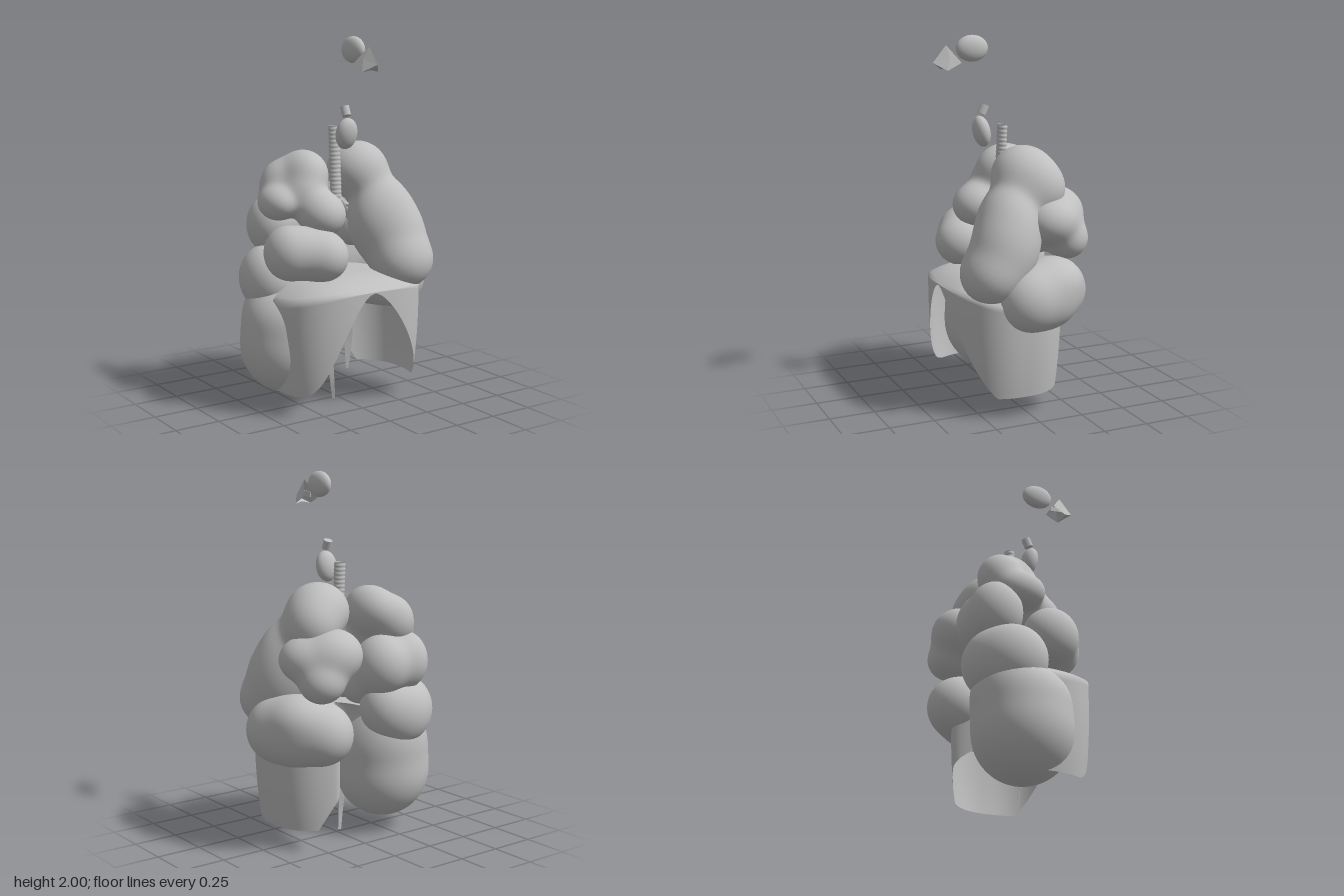
import * as THREE from 'three';
import { mergeVertices } from 'three/addons/utils/BufferGeometryUtils.js';

const tissue = new THREE.MeshStandardMaterial({ color: 0xbfbfbf, side: THREE.DoubleSide });
tissue.name = 'tissueGrey';

const V = (x, y, z) => new THREE.Vector3(x, y, z);

// Smoothly blended ellipsoids, each [x, y, z, rx, ry, rz], wrapped by rays from a centre
function lobe(center, balls, k = 0.024) {
  const field = (p) => {
    let sum = 0;
    for (const [x, y, z, rx, ry, rz] of balls) {
      const q = Math.hypot((p.x - x) / rx, (p.y - y) / ry, (p.z - z) / rz);
      sum += Math.exp(-((q - 1) * Math.min(rx, ry, rz)) / k);
    }
    return sum < 1e-30 ? 1 : -k * Math.log(sum);
  };
  let g = new THREE.IcosahedronGeometry(1, 18);
  g.deleteAttribute('uv');
  g.deleteAttribute('normal');
  g = mergeVertices(g, 1e-5);
  const pos = g.attributes.position;
  const c = V(...center), d = V(), p = V();
  for (let i = 0; i < pos.count; i++) {
    d.fromBufferAttribute(pos, i).normalize();
    let t = 0.7;
    while (t > 0.01 && field(p.copy(c).addScaledVector(d, t)) > 0) t -= 0.01;
    let lo = t, hi = t + 0.01;
    for (let j = 0; j < 8; j++) {
      const m = (lo + hi) / 2;
      if (field(p.copy(c).addScaledVector(d, m)) > 0) hi = m; else lo = m;
    }
    p.copy(c).addScaledVector(d, lo);
    pos.setXYZ(i, p.x, p.y, p.z);
  }
  g.computeVertexNormals();
  return g;
}

// Grid surface from a rule f(u, v) -> Vector3
function sheet(nu, nv, f) {
  const pts = [], idx = [];
  for (let j = 0; j <= nv; j++) for (let i = 0; i <= nu; i++) pts.push(...f(i / nu, j / nv).toArray());
  for (let j = 0; j < nv; j++) for (let i = 0; i < nu; i++) {
    const a = j * (nu + 1) + i, b = a + nu + 1;
    idx.push(a, a + 1, b, a + 1, b + 1, b);
  }
  let g = new THREE.BufferGeometry();
  g.setAttribute('position', new THREE.Float32BufferAttribute(pts, 3));
  g.setIndex(idx);
  g = mergeVertices(g, 1e-5);
  g.computeVertexNormals();
  return g;
}

const tube = (pts, r) =>
  new THREE.TubeGeometry(new THREE.CatmullRomCurve3(pts.map((p) => V(...p))), 24, r, 12);

// Domed muscle sheet with arched front and back hems and a notch at the spine
function diaphragm() {
  const sp = (v, e) => Math.sign(v) * Math.pow(Math.abs(v), e);
  return sheet(160, 36, (u, v) => {
    const a = -u * Math.PI * 2;
    const x = 0.44 * sp(Math.cos(a), 0.8);
    const front = Math.sin(a) >= 0;
    let z = 0.34 * sp(Math.sin(a), front ? 0.75 : 0.85);
    if (!front) z *= 0.9 * THREE.MathUtils.smoothstep(Math.abs(x), 0.0, 0.2);
    const w = Math.min(1, Math.abs(x) / (front ? 0.41 : 0.3));
    // the right side of the front arch is bell shaped, the left side straighter
    const arch = front && x < 0 ? 0.5 + 0.5 * Math.cos(Math.PI * w) : 1 - Math.pow(w, 1.45);
    const hem = 0.115 + ((front ? 0.665 : 0.45) - 0.115) * arch;
    const rim = 0.67 - 0.05 * Math.pow(Math.abs(x) / 0.44, 4);
    if (v < 0.5) {
      const r = v * 2;
      return V(x * r, 0.74 - (0.74 - rim) * Math.pow(r, 3.5), 0.03 + z * r);
    }
    const y = rim + (Math.min(hem, rim) - rim) * (v - 0.5) * 2;
    const k = 1 - 0.075 * Math.pow((0.67 - y) / 0.55, 2.5);
    return V(x * k, y, 0.03 + z * k);
  });
}

// Tapered flat strap hanging from the diaphragm
const strap = (pts, w0, w1) => {
  const c = new THREE.CatmullRomCurve3(pts.map((p) => V(...p)));
  return sheet(2, 16, (u, v) => {
    const p = c.getPoint(v), w = w0 + (w1 - w0) * v;
    return p.add(V((u - 0.5) * w, 0, (u - 0.5) * w * 0.5));
  });
};

// Faceted nose shell: bridge, tip and flared wings
function nose() {
  const g = new THREE.BufferGeometry();
  const tris = [];
  for (const s of [1, -1]) {
    const top = [-0.01, 1.95, 0.31], tip = [-0.01, 1.86, 0.385], base = [-0.01, 1.83, 0.33];
    const wing = [-0.01 + s * 0.05, 1.82, 0.32], rear = [-0.01 + s * 0.055, 1.86, 0.245], mid = [-0.01 + s * 0.03, 1.885, 0.3];
    const faces = [[top, tip, mid], [tip, wing, mid], [mid, wing, rear], [top, mid, rear], [tip, base, wing]];
    for (const f of faces) for (const p of s > 0 ? f : [f[0], f[2], f[1]]) tris.push(...p);
  }
  g.setAttribute('position', new THREE.Float32BufferAttribute(tris, 3));
  g.computeVertexNormals();
  return g;
}

// Ringed windpipe profile
function trachea() {
  const pts = [], n = 72;
  for (let i = 0; i <= n; i++) pts.push(new THREE.Vector2(0.028 + 0.002 * Math.sin(i * 1.57), (i / n) * 0.41));
  return new THREE.LatheGeometry(pts, 20);
}

export function createModel() {
  const group = new THREE.Group();
  const add = (name, geo, pos = [0, 0, 0], rx = 0, scale = [1, 1, 1]) => {
    const m = new THREE.Mesh(geo, tissue);
    m.name = name;
    m.position.set(...pos);
    m.rotation.x = rx;
    m.scale.set(...scale);
    group.add(m);
  };

  // Head and throat
  const ball = new THREE.SphereGeometry(1, 32, 24);
  add('nasalCavity', ball, [-0.007, 1.93, 0.165], 0, [0.042, 0.07, 0.09]);
  add('nose', nose());
  add('nasalSeptum', new THREE.BoxGeometry(0.006, 0.03, 0.09), [-0.01, 1.875, 0.295], -0.1);
  add('larynx', ball, [-0.012, 1.487, 0.11], 0.2, [0.063, 0.085, 0.046]);
  add('throatTube', new THREE.CylinderGeometry(0.025, 0.025, 0.052, 10), [-0.01, 1.605, 0.1], -0.4);

  // Windpipe and its branches
  add('trachea', trachea(), [-0.01, 1.11, 0.008], -0.05, [1.15, 1, 0.95]);
  add('leftBronchus', tube([[-0.01, 1.14, 0], [0.05, 1.09, -0.02], [0.12, 1.0, -0.05], [0.2, 0.9, -0.08]], 0.02));
  add('rightBronchus', tube([[-0.01, 1.14, 0], [-0.05, 1.08, -0.02], [-0.12, 1.0, -0.05]], 0.022));
  add('leftUpperBranch', tube([[0.05, 1.09, -0.02], [0.1, 1.08, 0.0], [0.16, 1.1, 0.02]], 0.013));

  // Left lung
  add('leftUpperLobe', lobe([0.22, 1.04, 0.05], [
    [0.165, 1.27, -0.05, 0.165, 0.155, 0.165], [0.25, 1.2, -0.11, 0.125, 0.14, 0.135],
    [0.245, 1.0, 0.07, 0.19, 0.23, 0.165], [0.305, 0.9, 0.12, 0.165, 0.2, 0.165],
    [0.305, 0.78, 0.2, 0.17, 0.155, 0.155],
  ], 0.03));
  add('leftMiddleLobe', lobe([0.25, 1.02, -0.2], [
    [0.2, 1.06, -0.225, 0.16, 0.14, 0.15], [0.32, 1.04, -0.14, 0.135, 0.12, 0.14],
    [0.29, 0.93, -0.25, 0.12, 0.11, 0.115], [0.17, 0.95, -0.1, 0.1, 0.12, 0.1],
  ]));
  add('leftLowerLobe', lobe([0.34, 0.65, -0.1], [
    [0.405, 0.645, 0.02, 0.145, 0.165, 0.16], [0.25, 0.64, -0.2, 0.16, 0.165, 0.17],
    [0.36, 0.64, -0.1, 0.15, 0.17, 0.17], [0.35, 0.73, -0.13, 0.14, 0.11, 0.15],
  ], 0.028));

  // Right lung
  add('rightUpperLobe', lobe([-0.2, 1.16, -0.03], [
    [-0.155, 1.26, -0.09, 0.12, 0.13, 0.155], [-0.25, 1.2, -0.17, 0.115, 0.13, 0.115],
    [-0.335, 1.115, -0.08, 0.09, 0.09, 0.125], [-0.15, 1.06, 0.08, 0.125, 0.12, 0.135],
    [-0.2, 1.16, -0.03, 0.1, 0.11, 0.12],
  ]));
  add('rightBackLobe', lobe([-0.2, 0.96, -0.17], [
    [-0.14, 0.97, -0.21, 0.14, 0.16, 0.15], [-0.3, 0.98, -0.21, 0.125, 0.16, 0.14],
    [-0.1, 0.88, -0.07, 0.115, 0.14, 0.11],
  ], 0.03));
  add('rightMiddleLobe', lobe([-0.28, 0.87, 0.1], [
    [-0.365, 0.87, 0.07, 0.115, 0.14, 0.14], [-0.19, 0.85, 0.15, 0.13, 0.135, 0.15],
    [-0.28, 0.87, 0.1, 0.12, 0.13, 0.14],
  ]));
  add('rightSideLobe', lobe([-0.3, 0.7, -0.18], [
    [-0.27, 0.69, -0.21, 0.17, 0.18, 0.155], [-0.37, 0.7, -0.13, 0.14, 0.175, 0.17],
    [-0.17, 0.73, -0.2, 0.13, 0.15, 0.13],
  ]));
  add('rightLowerLobe', lobe([-0.28, 0.4, -0.05], [
    [-0.28, 0.335, -0.055, 0.265, 0.265, 0.26], [-0.27, 0.49, -0.055, 0.255, 0.2, 0.25],
    [-0.26, 0.57, -0.13, 0.2, 0.18, 0.17],
  ]));

  // Diaphragm and its straps
  add('diaphragm', diaphragm());
  add('leftStrap', strap([[0.04, 0.46, 0.03], [0.055, 0.32, 0.03], [0.05, 0.16, 0.03]], 0.07, 0.012));
  add('rightStrap', strap([[-0.065, 0.3, 0.03], [-0.06, 0.2, 0.03], [-0.05, 0.1, 0.03], [-0.035, 0, 0.02]], 0.035, 0.015));
  return group;
}
